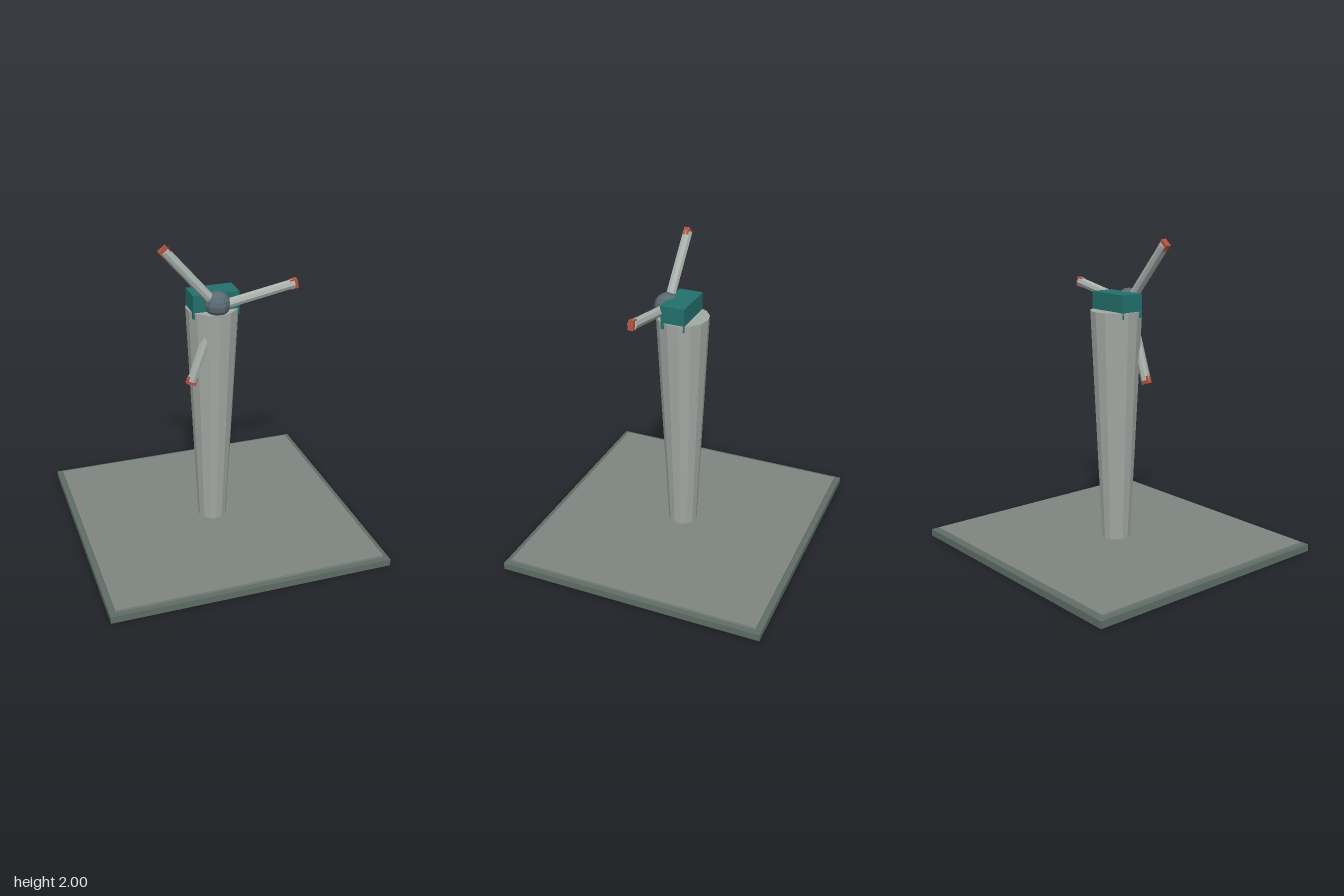
import * as THREE from 'three';

const material = (color) => new THREE.MeshStandardMaterial({ color, flatShading: true });

function addPart(parent, name, geometry, mat, x = 0, y = 0, z = 0) {
  const mesh = new THREE.Mesh(geometry, mat);
  mesh.name = name;
  mesh.position.set(x, y, z);
  parent.add(mesh);
  return mesh;
}

export function createModel() {
  const model = new THREE.Group();
  model.name = 'windTurbine';

  const edgeGrey = material(0x5f6d67);
  const slabGrey = material(0x7e857f);
  const towerGrey = material(0xa3a9a5);
  const bladeGrey = material(0xaab2ae);
  const teal = material(0x23706c);
  const slate = material(0x5a6a72);
  const red = material(0xb0523f);

  // Stepped base
  addPart(model, 'baseRim', new THREE.BoxGeometry(1.8, 0.045, 1.72), edgeGrey, 0, 0.0225);
  addPart(model, 'baseSlab', new THREE.BoxGeometry(1.73, 0.03, 1.65), slabGrey, 0, 0.045);

  // Tower, wider at the top
  const bottom = 0.05, top = 1.545;
  addPart(model, 'tower', new THREE.CylinderGeometry(0.165, 0.093, top - bottom, 14),
    towerGrey, 0, (top + bottom) / 2);

  // Housing, sunk a little into the tower so its front corners show
  addPart(model, 'housing', new THREE.BoxGeometry(0.295, 0.15, 0.155), teal, 0, 1.58, 0.0075);

  // Hub
  addPart(model, 'hub', new THREE.SphereGeometry(0.08, 10, 8), slate, 0, 1.597, 0.105);

  // Three blades with flat coloured tips
  const rotor = new THREE.Group();
  rotor.name = 'rotor';
  rotor.position.set(0, 1.58, 0.105);
  model.add(rotor);
  for (let i = 0; i < 3; i++) {
    const blade = new THREE.Group();
    blade.name = `blade${i + 1}`;
    blade.rotation.z = THREE.MathUtils.degToRad(10.5 + 120 * i - 90);
    addPart(blade, 'bladeShaft', new THREE.CylinderGeometry(0.031, 0.031, 0.5, 8), bladeGrey, 0, 0.25);
    addPart(blade, 'bladeTip', new THREE.BoxGeometry(0.06, 0.048, 0.034), red, 0, 0.498);
    rotor.add(blade);
  }
  return model;
}
